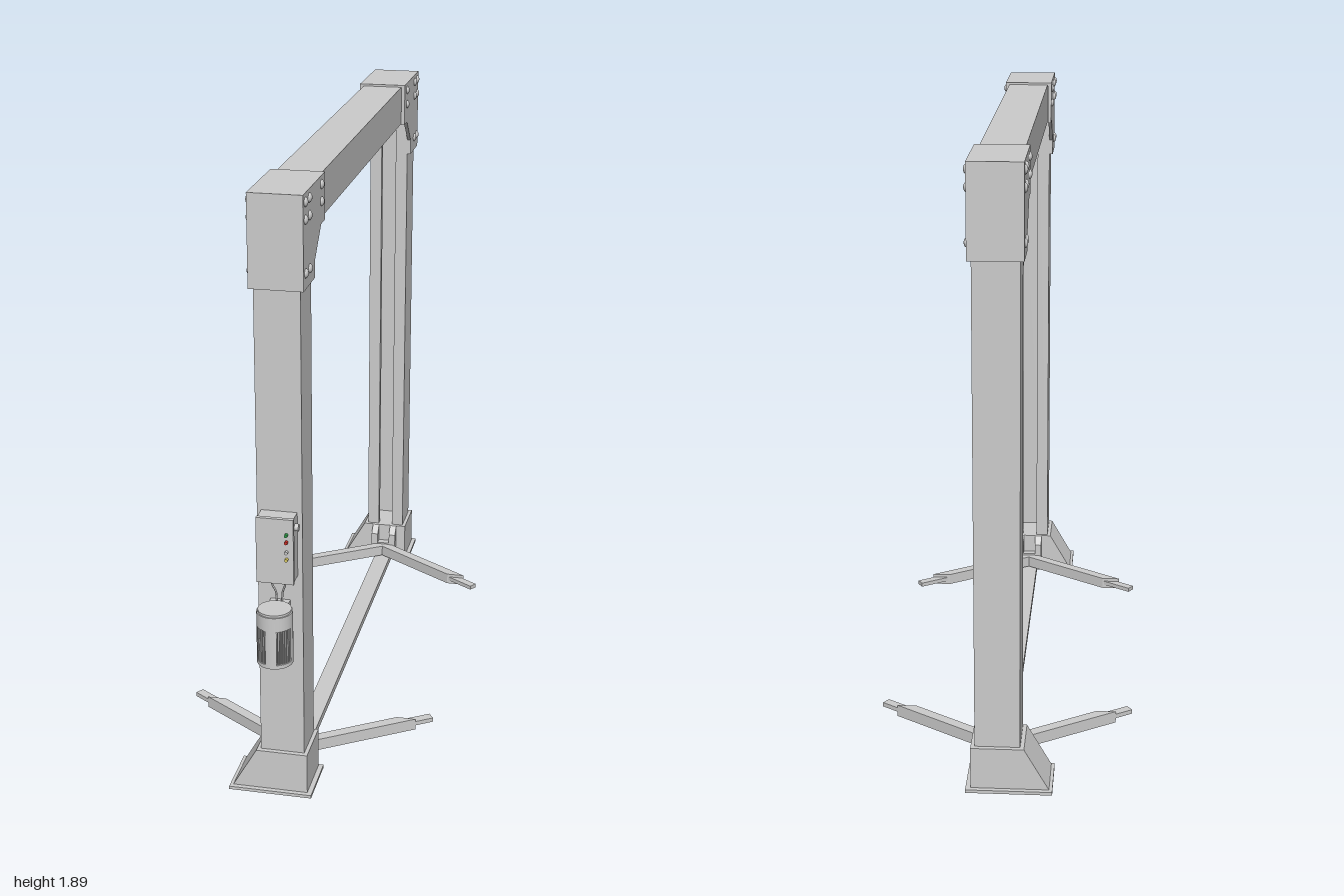
import * as THREE from 'three';

const grey = new THREE.MeshStandardMaterial({ color: 0xcccccc });
const paint = (color) => new THREE.MeshStandardMaterial({ color });

function add(parent, name, geometry, material = grey) {
  const mesh = new THREE.Mesh(geometry, material);
  mesh.name = name;
  parent.add(mesh);
  return mesh;
}

// Box from its min and max on each axis
function box(x0, x1, y0, y1, z0, z1) {
  return new THREE.BoxGeometry(x1 - x0, y1 - y0, z1 - z0)
    .translate((x0 + x1) / 2, (y0 + y1) / 2, (z0 + z1) / 2);
}

const outline = (points) => new THREE.Shape(points.map(([a, b]) => new THREE.Vector2(a, b)));
const extrude = (points, depth) =>
  new THREE.ExtrudeGeometry(outline(points), { depth, bevelEnabled: false });

// Plan outline [x, z] raised from y0 to y1
const planPrism = (points, y0, y1) =>
  extrude(points.map(([x, z]) => [x, -z]), y1 - y0).rotateX(-Math.PI / 2).translate(0, y0, 0);

// Side outline [z, y] spanning x0 to x1
const sidePrism = (points, x0, x1) =>
  extrude(points, x1 - x0).rotateY(-Math.PI / 2).translate(x1, 0, 0);

// One post with its foot, corner bracket, carriage and arms; faces outward along +z.
// flare is the x direction in which the foot slopes.
function createSide(flare) {
  const side = new THREE.Group();

  // C-section post, slot facing inward
  const half = [[0.068, 0.92], [0.068, 0.787], [0.026, 0.787], [0.026, 0.812],
    [0.034, 0.812], [0.034, 0.797], [0.058, 0.797], [0.058, 0.91]];
  const section = [...half, ...half.map(([x, z]) => [-x, z]).reverse()];
  add(side, 'post', planPrism(section, 0.01, 1.885));

  // Foot
  const f = flare;
  add(side, 'basePlate', f < 0 ? box(-0.165, 0.095, 0, 0.01, 0.77, 0.95) : box(-0.095, 0.165, 0, 0.01, 0.77, 0.95));
  add(side, 'baseFoot', extrude([[f * 0.155, 0.01], [f * 0.08, 0.14], [-f * 0.08, 0.14], [-f * 0.08, 0.01]], 0.16)
    .translate(0, 0, 0.775));

  // Corner bracket: two gusset plates, top cover and outer cover
  const gusset = [[0.932, 1.62], [0.932, 1.895], [0.652, 1.895], [0.652, 1.755],
    [0.705, 1.755], [0.787, 1.672], [0.787, 1.62]];
  for (const s of [-1, 1]) {
    add(side, 'bracketPlate', sidePrism(gusset, s * 0.074 - 0.006, s * 0.074 + 0.006));
    const bolts = [[0.905, 1.87], [0.855, 1.87], [0.7, 1.87], [0.905, 1.82],
      [0.855, 1.82], [0.7, 1.82], [0.905, 1.667], [0.855, 1.667]];
    for (const [z, y] of bolts) {
      const dome = new THREE.SphereGeometry(0.014, 16, 6, 0, Math.PI * 2, 0, Math.PI / 2)
        .scale(1, 0.6, 1).rotateZ(-s * Math.PI / 2);
      add(side, 'bracketBolt', dome).position.set(s * 0.08, y, z);
    }
  }
  add(side, 'bracketTop', box(-0.07, 0.07, 1.885, 1.895, 0.652, 0.932));
  add(side, 'bracketOuter', box(-0.07, 0.07, 1.62, 1.89, 0.92, 0.932));

  // Lifting carriage: chamfered cheeks and arm holder
  const cheek = [[0.83, 0.025], [0.83, 0.14], [0.772, 0.14], [0.745, 0.112], [0.745, 0.025]];
  for (const s of [-1, 1]) {
    add(side, 'carriageCheek', sidePrism(cheek, s * 0.034 - 0.012, s * 0.034 + 0.012));
  }
  add(side, 'armHolder', box(-0.046, 0.046, 0.025, 0.075, 0.748, 0.8));

  // Swing arms with sliding extensions
  const slope = 0.667;
  const xAt = (z) => (0.747 - z) / slope;
  for (const s of [-1, 1]) {
    const w = 0.031;
    const sleeve = [[xAt(0.747) - w, 0.747], [xAt(0.747) + w, 0.747],
      [xAt(0.535) + w, 0.535], [xAt(0.535) - w, 0.535]].map(([x, z]) => [s * x, z]);
    add(side, 'armSleeve', planPrism(sleeve, 0.032, 0.07));
    const extension = add(side, 'armExtension', new THREE.BoxGeometry(0.2, 0.014, 0.029));
    extension.rotation.y = s * Math.atan(slope);
    extension.position.set(s * 0.309, 0.052, 0.747 - 0.309 * slope);
  }
  return side;
}

// Motor hanging on the front post
function createMotor() {
  const motor = new THREE.Group();
  motor.name = 'motor';
  const cylinder = (name, r, y0, y1) =>
    add(motor, name, new THREE.CylinderGeometry(r, r, y1 - y0, 32).translate(0, (y0 + y1) / 2, 0));
  cylinder('motorBody', 0.046, 0.5, 0.64);
  cylinder('motorCap', 0.054, 0.615, 0.66);
  cylinder('motorLid', 0.05, 0.66, 0.667);
  cylinder('motorBottom', 0.054, 0.493, 0.505);

  // Four banks of cooling fins, with smooth panels between them
  for (let bank = 0; bank < 4; bank++) {
    for (let i = -3; i <= 3; i++) {
      const fin = add(motor, 'coolingFin', box(-0.0012, 0.0012, 0.5, 0.62, 0.044, 0.053));
      fin.rotation.y = Math.PI / 4 + bank * Math.PI / 2 + i * 0.13;
    }
    const panel = new THREE.CylinderGeometry(0.054, 0.054, 0.12, 8, 1, true, -0.32, 0.64);
    const mesh = add(motor, 'motorPanel', panel, new THREE.MeshStandardMaterial({ color: 0xcccccc, side: THREE.DoubleSide }));
    mesh.position.y = 0.56;
    mesh.rotation.y = bank * Math.PI / 2;
  }
  add(motor, 'motorMount', box(-0.03, 0.03, 0.635, 0.66, -0.08, -0.04));
  motor.position.z = 0.945;
  return motor;
}

// Control box with buttons, switch and cables
function createControls() {
  const controls = new THREE.Group();
  controls.name = 'controls';
  add(controls, 'controlBox', box(-0.055, 0.053, 0.742, 0.945, 0.87, 0.925));
  add(controls, 'controlBoxCover', box(-0.057, 0.055, 0.74, 0.947, 0.918, 0.931));
  const buttons = [[0.9, 0x2fa04a], [0.877, 0xd03028], [0.845, 0xcccccc], [0.822, 0xd8c860]];
  for (const [y, color] of buttons) {
    const button = new THREE.CylinderGeometry(0.005, 0.005, 0.012, 16).rotateX(Math.PI / 2);
    add(controls, 'button', button, paint(color)).position.set(0.035, y, 0.936);
  }
  const knob = new THREE.CylinderGeometry(0.011, 0.011, 0.012, 20).rotateZ(Math.PI / 2);
  add(controls, 'sideSwitch', knob).position.set(0.059, 0.912, 0.9);
  for (const s of [-1, 1]) {
    const path = new THREE.CatmullRomCurve3([
      new THREE.Vector3(s * 0.02, 0.745, 0.895), new THREE.Vector3(s * 0.02, 0.72, 0.893),
      new THREE.Vector3(s * 0.01, 0.69, 0.885), new THREE.Vector3(s * 0.008, 0.65, 0.885)]);
    add(controls, 'cable', new THREE.TubeGeometry(path, 16, 0.003, 8));
    add(controls, 'cableGland', new THREE.CylinderGeometry(0.007, 0.007, 0.014, 12)).position.set(s * 0.02, 0.735, 0.895);
  }
  return controls;
}

export function createModel() {
  const model = new THREE.Group();
  model.name = 'twoPostLift';

  // Frame, centred between the posts
  const frame = new THREE.Group();
  frame.name = 'frame';
  frame.position.z = -0.05;
  const front = createSide(-1);
  front.name = 'frontSide';
  const back = createSide(1);
  back.name = 'backSide';
  back.rotation.y = Math.PI;
  frame.add(front, back);
  add(frame, 'crossBeam', box(-0.067, 0.067, 1.757, 1.888, -0.8, 0.8));
  add(frame, 'floorChannel', box(-0.03, 0.03, 0.004, 0.027, -0.78, 0.78));
  model.add(frame);

  model.add(createMotor(), createControls());
  return model;
}
